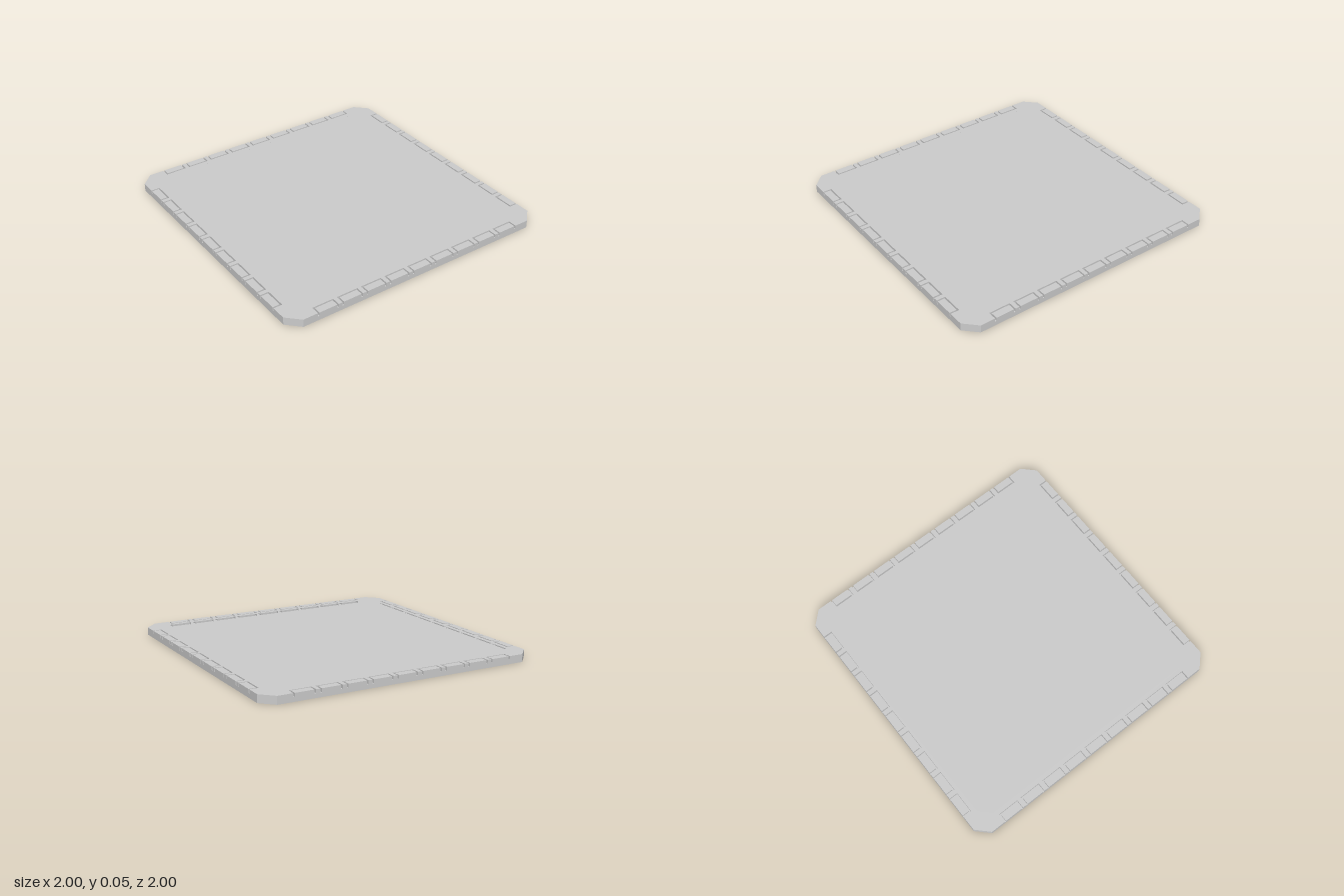
import * as THREE from 'three';

const TOP = 0.055, FLOOR = 0.03;          // rim height and recessed floor height
const COUNT = 9, PITCH = 0.1825;          // blocks along each edge
const SLOT = 0.077, BLOCK = 0.066;        // half widths of the notch and of the block in it
const SLOT_IN = 0.938, BLOCK_IN = 0.949;  // inner ends of notch and block

const material = new THREE.MeshStandardMaterial({ color: 0xcccccc, flatShading: true });

// One edge of a square outline (+y edge, left to right), turned into all four edges
function fourEdges(edge) {
  const points = [];
  for (let k = 0; k < 4; k++) {
    const c = Math.round(Math.cos(k * Math.PI / 2)), s = Math.round(Math.sin(k * Math.PI / 2));
    for (const [x, y] of edge) points.push(new THREE.Vector2(x * c + y * s, y * c - x * s));
  }
  return points;
}

// Flat slab from a shape, lying between two heights
function slab(name, shape, bottom, top) {
  const geometry = new THREE.ExtrudeGeometry(shape, { depth: top - bottom, bevelEnabled: false });
  geometry.rotateX(-Math.PI / 2);
  geometry.translate(0, bottom, 0);
  const mesh = new THREE.Mesh(geometry, material);
  mesh.name = name;
  return mesh;
}

export function createModel() {
  const model = new THREE.Group();
  model.name = 'tray';
  const centres = Array.from({ length: COUNT }, (_, i) => (i - (COUNT - 1) / 2) * PITCH);

  // Base plate with clipped corners
  const base = new THREE.Shape(fourEdges([[-0.913, 1], [0.913, 1]]));
  model.add(slab('basePlate', base, 0, FLOOR));

  // Raised rim, notched along its outer edge, around the recessed floor
  const edge = [[-0.913, 1]];
  for (const x of centres) {
    edge.push([x - SLOT, 1], [x - SLOT, SLOT_IN], [x + SLOT, SLOT_IN], [x + SLOT, 1]);
  }
  edge.push([0.913, 1]);
  const rim = new THREE.Shape(fourEdges(edge));
  rim.holes.push(new THREE.Path(fourEdges([[-0.833, 0.907], [0.833, 0.907]])));
  model.add(slab('rim', rim, FLOOR, TOP));

  // Blocks inside the notches, leaving a thin groove around each
  const blockGeometry = new THREE.BoxGeometry(BLOCK * 2, TOP - FLOOR, 1 - BLOCK_IN);
  for (let k = 0; k < 4; k++) {
    const row = new THREE.Group();
    row.name = 'blockRow' + (k + 1);
    for (const x of centres) {
      const block = new THREE.Mesh(blockGeometry, material);
      block.name = 'edgeBlock';
      block.position.set(x, (TOP + FLOOR) / 2, (1 + BLOCK_IN) / 2);
      row.add(block);
    }
    row.rotation.y = k * Math.PI / 2;
    model.add(row);
  }
  return model;
}
